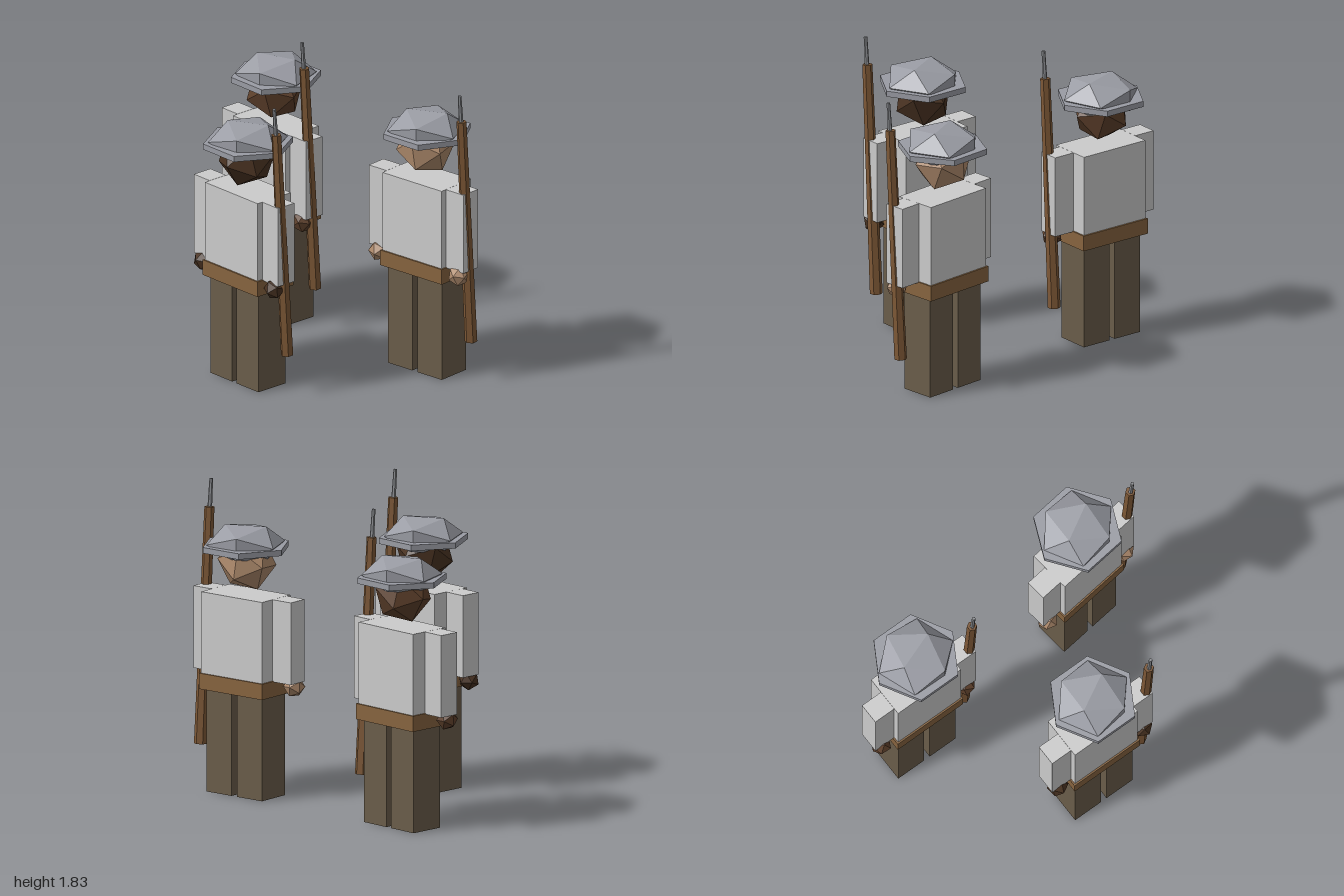
import * as THREE from 'three';

const mat = (color) => new THREE.MeshStandardMaterial({ color, flatShading: true });
const cloth = mat(0xcccccc);
const trousers = mat(0x6a5d4a);
const leather = mat(0x87643f);
const felt = mat(0x9a9ca4);
const wood = mat(0x7d5836);
const steel = mat(0x8c8e92);

function add(parent, name, geometry, material, x, y, z) {
  const mesh = new THREE.Mesh(geometry, material);
  mesh.name = name;
  mesh.position.set(x, y, z);
  parent.add(mesh);
  return mesh;
}

// Box given by its bottom and top heights
function block(parent, name, material, width, depth, bottom, top, x = 0, z = 0) {
  return add(parent, name, new THREE.BoxGeometry(width, top - bottom, depth), material, x, (bottom + top) / 2, z);
}

// Faceted lump, turned before it is squashed
function lump(radius, turn, squash = 1) {
  return new THREE.IcosahedronGeometry(radius, 0)
    .rotateX(turn[0]).rotateY(turn[1]).rotateZ(turn[2])
    .scale(1, squash, 1);
}

function createRifle() {
  const rifle = new THREE.Group();
  rifle.name = 'rifle';
  add(rifle, 'stock', new THREE.CylinderGeometry(0.03, 0.038, 1.415, 6), wood, 0, 0, 0);
  add(rifle, 'barrel', new THREE.CylinderGeometry(0.011, 0.016, 0.3, 6), steel, 0, 0.725, 0.004)
    .rotation.x = 0.02;
  rifle.position.set(0.346, 0.957, 0.045);
  rifle.rotation.x = 0.06;
  return rifle;
}

function createSoldier({ x, z, yaw, skin, headTurn, hatYaw }) {
  const soldier = new THREE.Group();
  soldier.name = 'soldier';
  const skinMat = mat(skin);

  // Legs, arms and hands in mirrored pairs
  for (const [side, s] of [['left', 1], ['right', -1]]) {
    block(soldier, side + 'Leg', trousers, 0.19, 0.215, 0, 0.63, s * 0.115);
    block(soldier, side + 'Arm', cloth, 0.138, 0.13, 0.71, 1.205, s * 0.3, 0.03);
    add(soldier, side + 'Hand', lump(0.065, [0.4 * s, headTurn[1], 0.3]), skinMat, s * 0.31, 0.675, 0.07);
  }

  // Torso and belt
  block(soldier, 'torso', cloth, 0.46, 0.265, 0.66, 1.205);
  block(soldier, 'belt', leather, 0.48, 0.285, 0.62, 0.715);

  // Head and brimmed hat
  add(soldier, 'head', lump(0.175, headTurn), skinMat, -0.005, 1.395, 0.005);
  add(soldier, 'hatBrim', new THREE.CylinderGeometry(0.27, 0.27, 0.035, 6).rotateY(Math.PI / 6), felt, 0, 1.485, 0);
  add(soldier, 'hatCrown', lump(0.24, [0, hatYaw, 0], 0.51), felt, 0, 1.51, 0);

  soldier.add(createRifle());
  soldier.position.set(x, 0, z);
  soldier.rotation.y = yaw;
  return soldier;
}

export function createModel() {
  const model = new THREE.Group();
  model.name = 'soldiers';
  [
    { x: -0.63, z: -0.435, yaw: -0.06, skin: 0x5e402b, headTurn: [0.3, 0.5, 0.2], hatYaw: 0.35 },
    { x: -0.005, z: 0.435, yaw: -0.06, skin: 0x4a3322, headTurn: [0.2, 1.1, 0.4], hatYaw: 0.5 },
    { x: 0.614, z: -0.435, yaw: 0.06, skin: 0xae8a6c, headTurn: [0.1, 0.2, 0.1], hatYaw: 0.4 },
  ].forEach((spec) => model.add(createSoldier(spec)));
  return model;
}
